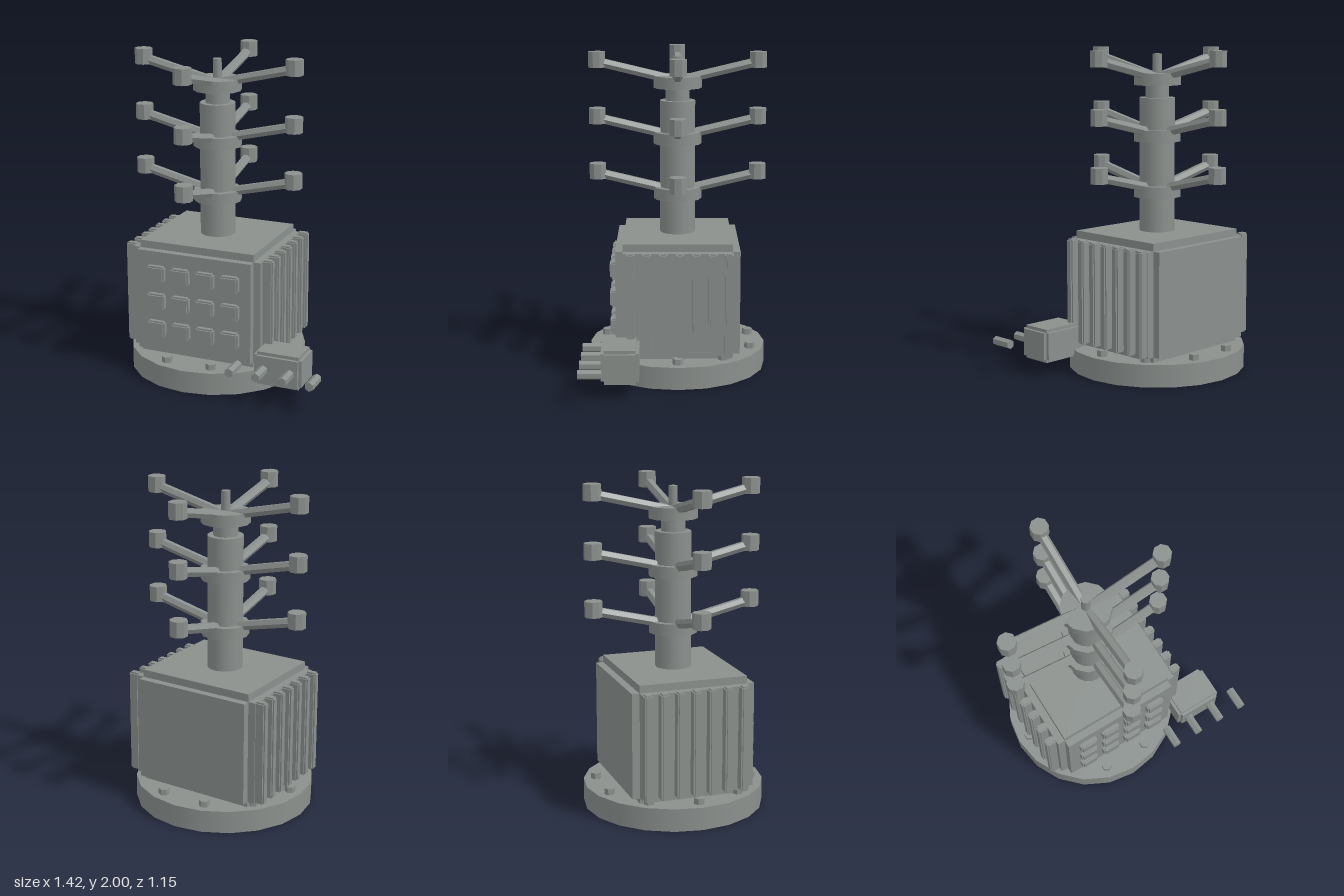
import * as THREE from 'three';

const COLOR = 0x8a908d;
const smooth = new THREE.MeshStandardMaterial({ color: COLOR });
const flat = new THREE.MeshStandardMaterial({ color: COLOR, flatShading: true });
const CX = -0.151, CZ = -0.016; // vertical axis of the tower

export function createModel() {
  const root = new THREE.Group();

  function add(parent, name, geometry, material, x, y, z) {
    const mesh = new THREE.Mesh(geometry, material);
    mesh.name = name;
    mesh.position.set(x, y, z);
    parent.add(mesh);
    return mesh;
  }
  function group(name, x, y, z) {
    const g = new THREE.Group();
    g.name = name;
    g.position.set(x, y, z);
    root.add(g);
    return g;
  }
  // upright cylinder on the tower axis between two heights
  const drum = (name, r, y0, y1, sides) =>
    add(root, name, new THREE.CylinderGeometry(r, r, y1 - y0, sides), smooth, CX, (y0 + y1) / 2, CZ);
  // box whose edges are stepped in by t: three crossing boxes
  function steppedBox(name, w, h, d, t, x, y, z) {
    const g = group(name, x, y, z);
    const k = 2 * t;
    add(g, name + 'Wide', new THREE.BoxGeometry(w, h - k, d - k), flat, 0, 0, 0);
    add(g, name + 'Tall', new THREE.BoxGeometry(w - k, h, d - k), flat, 0, 0, 0);
    add(g, name + 'Deep', new THREE.BoxGeometry(w - k, h - k, d), flat, 0, 0, 0);
  }

  // base plate with a ring of bolts
  drum('basePlate', 0.557, 0, 0.14, 20);
  const bolts = group('baseBolts', CX, 0.157, CZ);
  for (let i = 0; i < 10; i++) {
    const a = THREE.MathUtils.degToRad(18 + 36 * i);
    add(bolts, 'bolt', new THREE.CylinderGeometry(0.033, 0.033, 0.04, 6), flat,
      0.48 * Math.sin(a), 0, 0.48 * Math.cos(a));
  }

  // main housing
  steppedBox('housing', 0.85, 0.74, 0.765, 0.047, CX, 0.497, CZ);

  // cooling fins on both sides
  for (const side of [-1, 1])
    for (let i = 0; i < 7; i++)
      steppedBox('coolingFin', 0.07, 0.65, 0.05, 0.009, CX + side * 0.455, 0.505, -0.328 + 0.1 * i);

  // front panel of raised buttons
  for (let row = 0; row < 3; row++)
    for (let col = 0; col < 4; col++)
      steppedBox('button', 0.118, 0.1, 0.06, 0.01, -0.396 + 0.164 * col, 0.323 + 0.18 * row, 0.373);

  // connection box and its row of pins
  steppedBox('connectionBox', 0.307, 0.21, 0.228, 0.02, 0.428, 0.195, 0.331);
  const pins = group('connectionPins', 0.173, 0.195, 0.504);
  for (let i = 0; i < 4; i++)
    add(pins, 'pin', new THREE.CylinderGeometry(0.029, 0.029, 0.14, 6), flat, 0.17 * i, 0, 0)
      .rotation.x = Math.PI / 2;

  // mast
  drum('mast', 0.11, 0.82, 1.7, 16);
  drum('mastNeck', 0.075, 1.7, 1.8, 12);
  drum('topRod', 0.028, 1.8, 1.97, 8);

  // three collars, each with four rising arms and end caps
  for (const y of [1.118, 1.466, 1.815]) {
    drum('collar', 0.15, y - 0.037, y + 0.037, 12);
    for (let i = 0; i < 4; i++) {
      const spoke = group('spoke', CX, y, CZ);
      spoke.rotation.y = i * Math.PI / 2;
      const from = new THREE.Vector2(0, 0.005), to = new THREE.Vector2(0.5, 0.124);
      const dir = to.clone().sub(from), mid = from.clone().add(to).multiplyScalar(0.5);
      const arm = add(spoke, 'arm', new THREE.CylinderGeometry(0.031, 0.031, dir.length(), 6),
        flat, mid.x, mid.y, 0);
      arm.rotation.z = dir.angle() - Math.PI / 2;
      add(spoke, 'armCap', new THREE.CylinderGeometry(0.055, 0.055, 0.097, 8), flat, 0.5, 0.1365, 0)
        .rotation.y = Math.PI / 8;
    }
  }
  return root;
}
